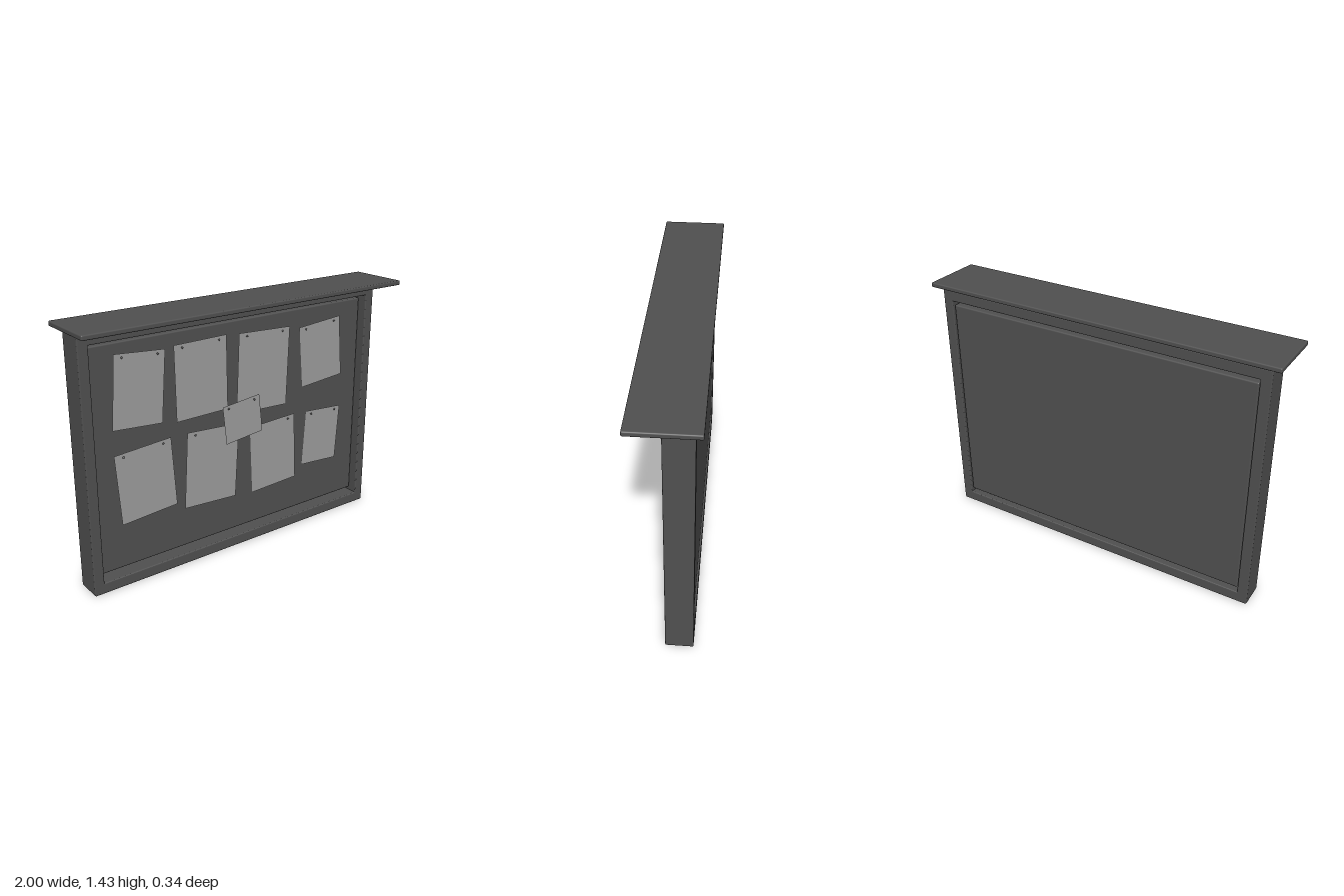
import * as THREE from 'three';
import { RoundedBoxGeometry } from 'three/addons/geometries/RoundedBoxGeometry.js';

const mat = (name, color, side = THREE.FrontSide) => {
  const m = new THREE.MeshStandardMaterial({ color, side });
  m.name = name;
  return m;
};

// Rectangle outline with corners rounded by r
function rect(path, x, y0, y1, r) {
  path.moveTo(-x + r, y0);
  path.absarc(x - r, y0 + r, r, -Math.PI / 2, 0);
  path.absarc(x - r, y1 - r, r, 0, Math.PI / 2);
  path.absarc(-x + r, y1 - r, r, Math.PI / 2, Math.PI);
  path.absarc(-x + r, y0 + r, r, Math.PI, Math.PI * 1.5);
  return path;
}

export function createModel() {
  const model = new THREE.Group();
  model.name = 'noticeBoard';
  const dark = mat('dark grey', 0x505050);
  const paper = mat('paper grey', 0x9d9d9d, THREE.DoubleSide);
  const pinMat = mat('pin grey', 0x5c5c5c);

  const add = (parent, name, geometry, material, x, y, z) => {
    const mesh = new THREE.Mesh(geometry, material);
    mesh.name = name;
    mesh.position.set(x, y, z);
    parent.add(mesh);
    return mesh;
  };

  // Deep open frame with softened edges
  const b = 0.006;
  const outline = rect(new THREE.Shape(), 0.95 - b, 0.003 + b, 1.393 - b, 0.004);
  outline.holes.push(rect(new THREE.Path(), 0.892 + b, 0.064 - b, 1.333 + b, 0.007));
  const frame = new THREE.ExtrudeGeometry(outline, {
    depth: 0.145 - 2 * b, bevelEnabled: true, bevelSize: b, bevelThickness: b, bevelSegments: 3, curveSegments: 4,
  });
  add(model, 'frame', frame, dark, 0, 0, -0.135 + b);

  // Board floating inside the frame, and the overhanging roof
  add(model, 'backBoard', new RoundedBoxGeometry(1.774, 1.224, 0.088, 3, 0.008), dark, 0, 0.699, -0.083);
  add(model, 'roof', new RoundedBoxGeometry(2, 0.026, 0.34, 3, 0.007), dark, 0, 1.419, 0);

  // Notes: centre x, centre y, width, height, tilt, layer
  const notes = [
    [-0.614, 1.05, 0.29, 0.39, -0.075, 0],
    [-0.238, 1.037, 0.327, 0.415, 0.015, 0],
    [0.171, 1.005, 0.35, 0.452, -0.04, 0],
    [0.592, 1.038, 0.302, 0.358, 0.085, 0],
    [-0.592, 0.546, 0.337, 0.395, 0.07, 0],
    [-0.179, 0.524, 0.34, 0.437, -0.06, 0],
    [0.249, 0.49, 0.322, 0.405, 0.045, 0],
    [0.614, 0.515, 0.267, 0.335, -0.07, 0],
    [0.022, 0.753, 0.249, 0.222, 0.11, 1],
  ];
  const pinGeo = new THREE.SphereGeometry(0.0055, 12, 8);
  notes.forEach(([x, y, w, h, tilt, layer], i) => {
    const note = new THREE.Group();
    note.name = `note${i + 1}`;
    note.position.set(x, y, -0.031 + layer * 0.012);
    note.rotation.z = tilt;
    add(note, 'sheet', new THREE.PlaneGeometry(w, h), paper, 0, 0, 0);
    for (const s of [-1, 1]) {
      add(note, 'pin', pinGeo, pinMat, s * w * 0.35, h / 2 - 0.02, 0.003);
    }
    model.add(note);
  });
  return model;
}
